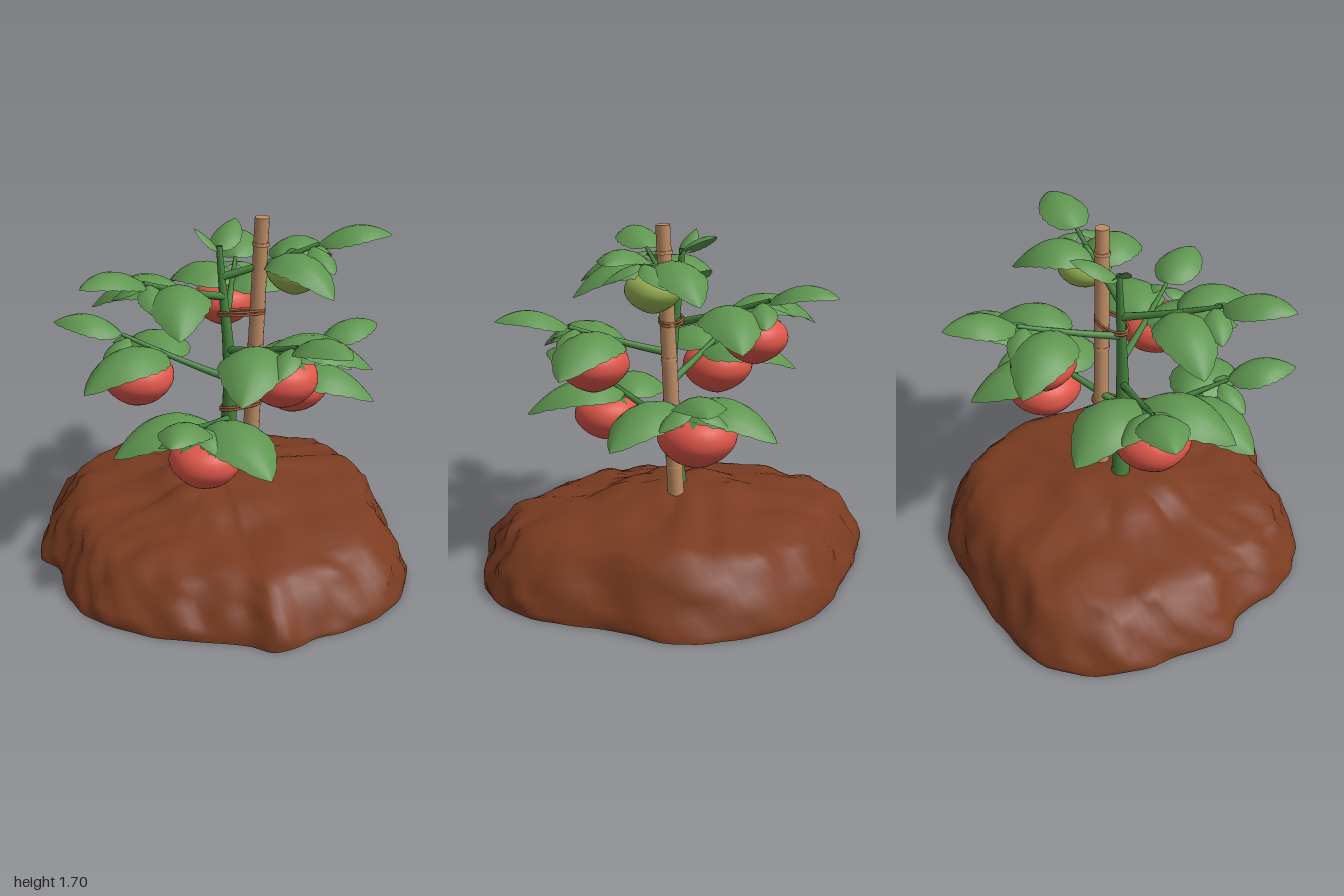
import * as THREE from 'three';

const mat = (name, color, side = THREE.FrontSide) => {
  const m = new THREE.MeshStandardMaterial({ color, side });
  m.name = name;
  return m;
};
const V = (x, y, z) => new THREE.Vector3(x, y, z);

export function createModel() {
  const model = new THREE.Group();
  model.name = 'tomatoPlant';
  const soil = mat('soil', 0x7b3c21);
  const stemGreen = mat('stemGreen', 0x47833e, THREE.DoubleSide);
  const leafGreen = mat('leafGreen', 0x5f9650, THREE.DoubleSide);
  const ripe = mat('ripeRed', 0xe0574a);
  const unripe = mat('unripeGreen', 0x98b254);
  const bamboo = mat('bamboo', 0xbd8d64);
  const twine = mat('twine', 0x9a5f3e);

  const add = (parent, name, geo, material) => {
    const mesh = new THREE.Mesh(geo, material);
    mesh.name = name;
    parent.add(mesh);
    return mesh;
  };

  // Quad grid from a point rule, rows x cols, optionally closed around the columns
  const grid = (rows, cols, closed, point) => {
    const pos = [], idx = [], w = closed ? cols : cols + 1;
    for (let i = 0; i <= rows; i++)
      for (let j = 0; j < w; j++) pos.push(...point(i, j).toArray());
    for (let i = 0; i < rows; i++)
      for (let j = 0; j < cols; j++) {
        const a = i * w + j, b = i * w + ((j + 1) % w), c = a + w, d = b + w;
        idx.push(a, b, c, b, d, c);
      }
    const g = new THREE.BufferGeometry();
    g.setAttribute('position', new THREE.Float32BufferAttribute(pos, 3));
    g.setIndex(idx);
    g.computeVertexNormals();
    return g;
  };

  // Tube whose radius runs from r0 to r1
  const taper = (curve, r0, r1, steps = 10, sides = 8) => {
    const g = new THREE.TubeGeometry(curve, steps, 1, sides);
    const p = g.attributes.position, v = V();
    for (let k = 0; k < p.count; k++) {
      const t = Math.floor(k / (sides + 1)) / steps, c = curve.getPointAt(t);
      v.fromBufferAttribute(p, k).sub(c).multiplyScalar(r0 + (r1 - r0) * t).add(c);
      p.setXYZ(k, v.x, v.y, v.z);
    }
    return g;
  };

  // Lumpy soil mound, a little higher at the back: an irregular outline scaled through a height profile
  const outline = new THREE.CatmullRomCurve3([
    [1, -0.06], [0.96, 0.2], [0.88, 0.38], [0.81, 0.58], [0.68, 0.62], [0.51, 0.73], [0.28, 0.86], [0, 0.92],
    [-0.24, 0.86], [-0.45, 0.72], [-0.61, 0.69], [-0.8, 0.46], [-0.96, 0.25], [-1, -0.1], [-0.8, -0.39],
    [-0.57, -0.63], [-0.3, -0.85], [0.08, -0.92], [0.41, -0.82], [0.63, -0.58], [0.9, -0.33],
  ].map(([x, z]) => V(x, 0, z)), true);
  const profile = [[0, 0.42], [0.1, 0.42], [0.2, 0.41], [0.28, 0.4], [0.34, 0.38], [0.4, 0.36], [0.47, 0.345],
    [0.55, 0.335], [0.62, 0.325], [0.69, 0.315], [0.75, 0.305], [0.8, 0.29], [0.85, 0.26], [0.895, 0.21],
    [0.935, 0.155], [0.97, 0.095], [0.995, 0.045], [0.99, 0.01], [0.99, 0.01], [0, 0.01]];
  const lump = (x, z) => 0.5 * Math.sin(7 * x + 3 * z + 1) * Math.sin(8 * z - 3 * x)
    + 0.5 * Math.sin(15 * x - 6 * z) * Math.sin(13 * z + 7 * x + 2);
  add(model, 'soilMound', grid(profile.length - 1, 128, true, (i, j) => {
    const [s, y] = profile[i], p = outline.getPoint(j / 128);
    const x = p.x * s, z = p.z * s, top = i < 16;
    const side = i > 5 && top ? 0.035 : i >= 16 && s > 0 ? 0.014 : 0;
    const k = s * (1 + side * (lump(p.x * 1.5, p.z * 1.5 + y * 6) - 0.3));
    const ridge = Math.abs(Math.sin(5 * x + 9 * z + 2 * Math.sin(6 * x))) - 0.6;
    const rise = (lump(x, z) * 0.02 + ridge * 0.02) * Math.min(1, s * 4) - 0.06 * z * Math.min(1, y / 0.3);
    return V(p.x * k, top ? y + rise : y, p.z * k);
  }), soil);

  // Main stem
  const stem = new THREE.CatmullRomCurve3([V(0, 0.36, 0), V(0.03, 0.6, 0), V(0.047, 0.85, 0),
    V(0.035, 1.1, 0), V(0.005, 1.35, 0), V(-0.02, 1.57, 0)]);
  add(model, 'stem', taper(stem, 0.048, 0.014, 24, 12), stemGreen);

  // Bamboo stake with its joints
  const stake = new THREE.Group();
  stake.name = 'stake';
  const low = V(0.068, 0.3, -0.12), high = V(0.137, 1.71, -0.12);
  stake.position.copy(low).add(high).multiplyScalar(0.5);
  stake.quaternion.setFromUnitVectors(V(0, 1, 0), high.clone().sub(low).normalize());
  add(stake, 'pole', new THREE.CylinderGeometry(0.034, 0.041, 1.41, 14), bamboo);
  for (const y of [-0.45, 0.08, 0.58])
    add(stake, 'joint', new THREE.CylinderGeometry(0.039, 0.041, 0.015, 14), bamboo).position.y = y;
  model.add(stake);

  // Twine ties looped round stem and stake
  for (const [y, x] of [[0.775, 0.067], [0.788, 0.067], [1.245, 0.068], [1.26, 0.068]]) {
    const pts = [];
    for (let k = 0; k < 14; k++) {
      const a = k / 14 * Math.PI * 2;
      pts.push(V(0.112 * Math.cos(a), 0.008 * Math.sin(a), 0.05 * Math.sin(a)));
    }
    const tie = add(model, 'tie', new THREE.TubeGeometry(new THREE.CatmullRomCurve3(pts, true), 32, 0.006, 6, true), twine);
    tie.position.set(x, y, -0.06);
    tie.rotation.y = Math.atan2(0.12, y > 1 ? 0.095 : 0.045);
  }

  // Arched, pointed leaf blade with folded-down, lightly toothed edges
  const leaf = (name, base, angle, length, width, dy, arch) => {
    const rows = 16;
    const g = grid(rows, 6, false, (i, j) => {
      const t = i / rows, v = (j - 3) / 3;
      const edge = Math.abs(v) === 1 && i % 2 ? 0.95 : 1;
      const half = width / 2 * Math.pow(Math.sin(Math.PI * Math.pow(t, 0.8)), 0.75) * edge;
      const w = (i === 0 || i === rows) ? 0 : v * half;
      const y = dy * t + arch * 4 * t * (1 - t) - 0.5 * Math.abs(w * v);
      return V(length * t, y, w);
    });
    const m = add(model, name, g, leafGreen);
    m.position.copy(base);
    m.rotation.y = -angle;
  };

  // Fruit: ribbed squat lathe with a softly pointed base, plus a star calyx
  const fruitProfile = new THREE.SplineCurve([[0, -0.78], [0.28, -0.71], [0.65, -0.5], [0.92, -0.2],
    [1, 0.05], [0.93, 0.34], [0.7, 0.56], [0.35, 0.66], [0, 0.6]].map(p => new THREE.Vector2(...p))).getPoints(20);
  fruitProfile.forEach(p => { p.x = Math.max(0, p.x); });
  const fruit = ([x, y, z, r], material, from) => {
    const g = new THREE.Group();
    g.name = 'fruit';
    g.position.set(x, y, z);
    const body = new THREE.LatheGeometry(fruitProfile, 30), p = body.attributes.position;
    for (let k = 0; k < p.count; k++) {
      const k5 = 1 + 0.02 * Math.cos(5 * Math.atan2(p.getZ(k), p.getX(k)));
      p.setXYZ(k, p.getX(k) * k5 * r, p.getY(k) * r, p.getZ(k) * k5 * r);
    }
    add(g, 'fruitBody', body, material);
    const sepal = grid(5, 2, false, (i, j) => {
      const t = i / 5;
      return V(r * 0.86 * t, r * (0.68 + 0.12 * t - 0.32 * t * t), (j - 1) * r * 0.22 * (1 - t) * (0.5 + 2 * t));
    });
    for (let k = 0; k < 5; k++)
      add(g, 'sepal', sepal, stemGreen).rotation.y = k * Math.PI * 0.4 + x * 9;
    model.add(g);
    const top = V(x, y + r * 0.6, z), bend = V(x, Math.max(from.y, top.y + 0.06), z);
    add(model, 'fruitStalk', taper(new THREE.QuadraticBezierCurve3(from, bend, top), 0.012, 0.012), stemGreen);
  };

  // Branches: stem height, end point, leaf scale, fruit [x, y, z, radius]
  const branches = [
    { y: 0.72, end: [0.25, 0.9, 0.48], s: 1.02, fruit: [0.22, 0.685, 0.38, 0.165] },
    { y: 0.79, end: [0.2, 0.99, -0.56], s: 1.0, fruit: [0.11, 0.785, -0.42, 0.18] },
    { y: 0.92, end: [-0.41, 1.12, 0.26], s: 1.0, fruit: [-0.33, 0.91, 0.24, 0.177] },
    { y: 1.06, end: [0.52, 1.23, 0.1], s: 1.0, fruit: [0.41, 1.04, 0.07, 0.168] },
    { y: 1.2, end: [-0.26, 1.38, -0.41], s: 0.93, fruit: [-0.245, 1.18, -0.3, 0.153] },
    { y: 1.31, end: [-0.05, 1.5, 0.48], s: 0.9 },
    { y: 1.41, end: [0.33, 1.58, -0.3], s: 0.85, fruit: [0.24, 1.435, -0.24, 0.13], green: true },
  ];
  for (const b of branches) {
    const start = stem.getPoint((b.y - 0.36) / 1.21), end = V(...b.end);
    const mid = start.clone().lerp(end, 0.5);
    mid.y -= 0.015;
    const curve = new THREE.QuadraticBezierCurve3(start, mid, end);
    add(model, 'branch', taper(curve, 0.02, 0.01), stemGreen);
    const a = Math.atan2(end.z - start.z, end.x - start.x);
    leaf('endLeaf', end, a, 0.34, 0.24, 0.04, 0.065);
    for (const side of [-1, 1]) {
      leaf('sideLeaf', curve.getPoint(side > 0 ? 0.5 : 0.58), a + side * 0.87, 0.48 * b.s, 0.33 * b.s, -0.09, 0.115);
      leaf('smallLeaf', curve.getPoint(0.93), a + side * 1.05, 0.18, 0.13, -0.09, 0.025);
    }
    if (b.fruit) fruit(b.fruit, b.green ? unripe : ripe, curve.getPoint(0.66));
  }

  // Young leaves at the stem tip
  const tip = V(-0.02, 1.55, 0);
  leaf('tipLeaf', tip, -1.9, 0.22, 0.15, 0.1, 0.03);
  leaf('tipLeaf', tip, 2.6, 0.12, 0.09, 0.1, 0.01);
  return model;
}
